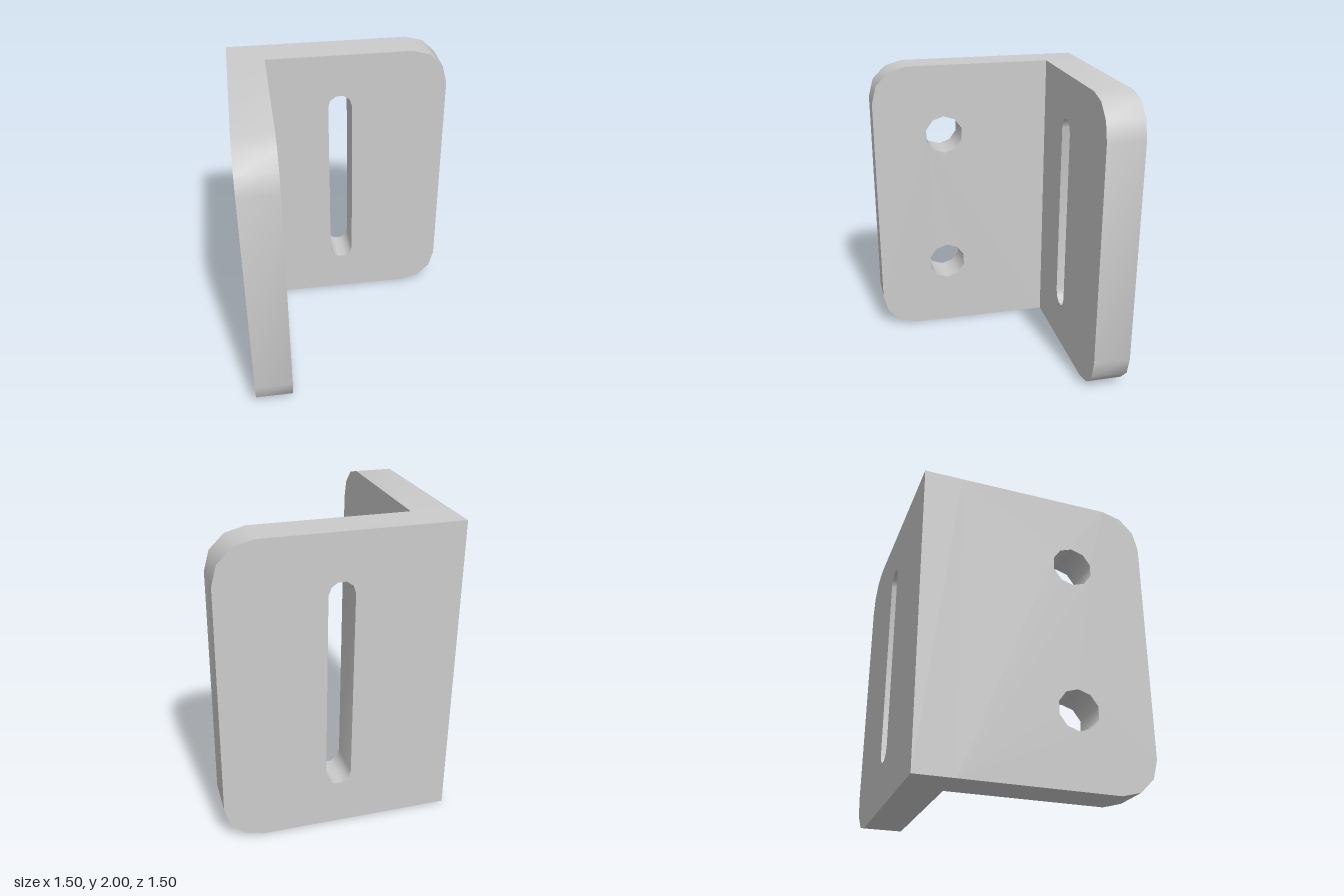
import * as THREE from 'three';
import { toCreasedNormals } from 'three/addons/utils/BufferGeometryUtils.js';

const THICK = 0.25, HEIGHT = 2, REACH = 0.75, CORNER = 0.25;

// Points along a circular arc, angles in degrees
function arc(cx, cy, r, from, to, steps) {
  return Array.from({ length: steps + 1 }, (_, i) => {
    const a = THREE.MathUtils.degToRad(from + (to - from) * i / steps);
    return new THREE.Vector2(cx + r * Math.cos(a), cy + r * Math.sin(a));
  });
}

// Plate with two rounded corners on its free edge, and holes cut through
function plate(start, holes) {
  const shape = new THREE.Shape([
    new THREE.Vector2(start, 0),
    ...arc(REACH - CORNER, CORNER, CORNER, -90, 0, 3),
    ...arc(REACH - CORNER, HEIGHT - CORNER, CORNER, 0, 90, 3),
    new THREE.Vector2(start, HEIGHT),
  ]);
  shape.holes = holes.map((points) => new THREE.Path(points));
  const geometry = new THREE.ExtrudeGeometry(shape, { depth: THICK, bevelEnabled: false });
  return toCreasedNormals(geometry, 0.7);
}

export function createModel() {
  const group = new THREE.Group();
  group.name = 'angleBracket';
  const material = new THREE.MeshStandardMaterial({ color: 0xcccccc });

  // Back plate with a tall slot
  const slot = [
    ...arc(0, 1.62, 0.083, 0, 180, 5),
    ...arc(0, 0.38, 0.083, 180, 360, 5),
  ];
  const back = new THREE.Mesh(plate(-REACH, [slot]), material);
  back.name = 'slottedBackPlate';
  back.position.z = -REACH;
  group.add(back);

  // Side plate with two bolt holes, butted against the back plate
  const boltHoles = [0.5, 1.5].map((y) => arc(0.25, y, 0.135, 90, 414, 9));
  const side = new THREE.Mesh(plate(-REACH + THICK, boltHoles), material);
  side.name = 'drilledSidePlate';
  side.rotation.y = -Math.PI / 2;
  side.position.x = -REACH + THICK;
  group.add(side);

  return group;
}
